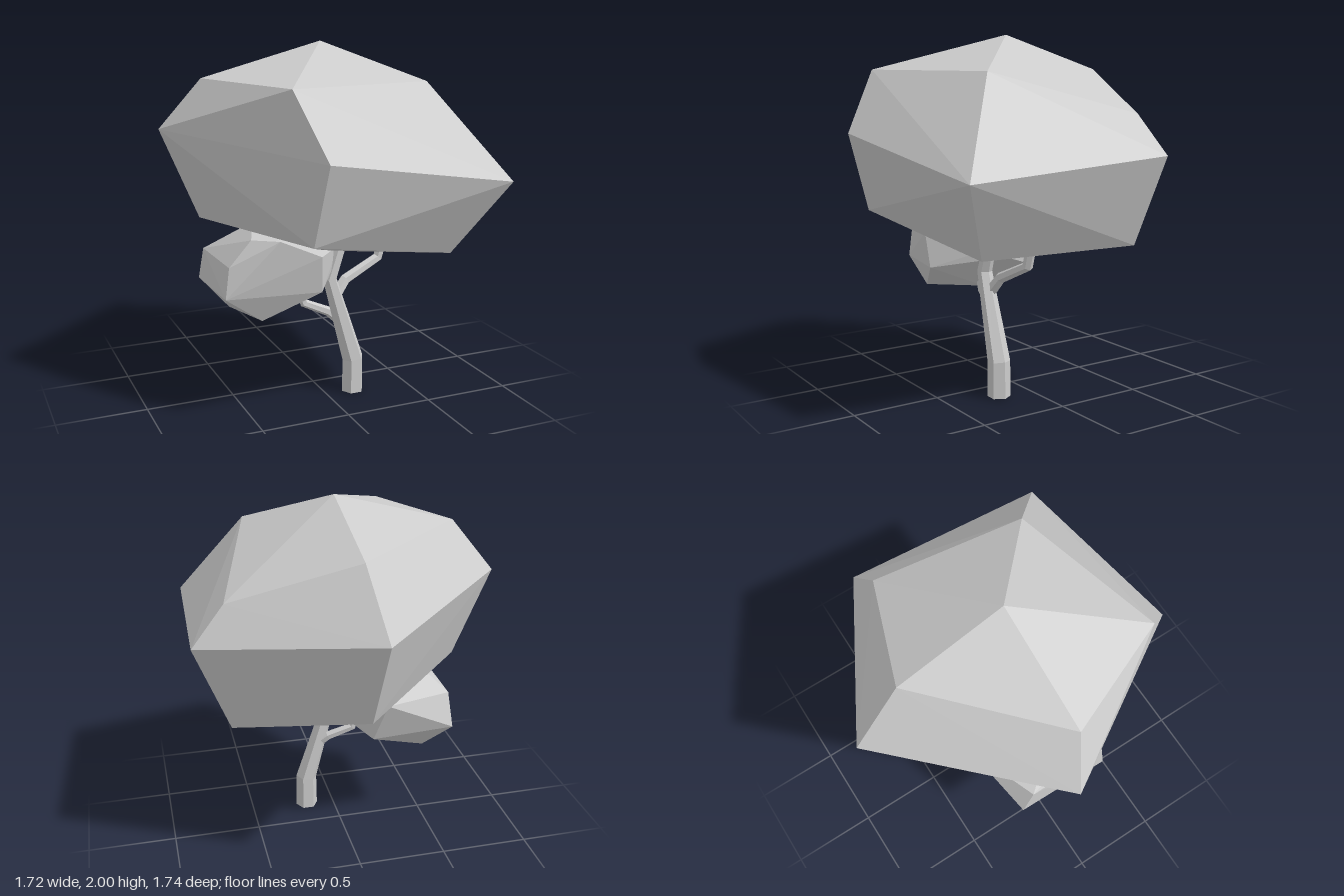
import * as THREE from 'three';
import { ConvexGeometry } from 'three/addons/geometries/ConvexGeometry.js';

const material = new THREE.MeshStandardMaterial({ color: 0xcccccc, flatShading: true });

function addMesh(group, name, geometry) {
  const mesh = new THREE.Mesh(geometry, material);
  mesh.name = name;
  group.add(mesh);
}

// Faceted foliage: the hull around a few corners
const foliage = (corners) => new ConvexGeometry(corners.map((c) => new THREE.Vector3(...c)));

// Six-sided tapering limb along stations [x, y, z, radius], mitred at the bends
function limb(stations, sides = 6) {
  const pts = stations.map(([x, y, z]) => new THREE.Vector3(x, y, z));
  const last = pts.length - 1;
  const rings = pts.map((p, i) => {
    const t = new THREE.Vector3();
    if (i > 0) t.add(p.clone().sub(pts[i - 1]).normalize());
    if (i < last) t.add(pts[i + 1].clone().sub(p).normalize());
    t.normalize();
    const u = new THREE.Vector3().crossVectors(t, new THREE.Vector3(0, 0, 1)).normalize();
    const v = new THREE.Vector3().crossVectors(u, t);
    return Array.from({ length: sides }, (_, j) => {
      const a = (j / sides) * Math.PI * 2, r = stations[i][3];
      return p.clone().addScaledVector(u, r * Math.cos(a)).addScaledVector(v, r * Math.sin(a));
    });
  });
  const tris = [];
  for (let j = 0; j < sides; j++) {
    const k = (j + 1) % sides;
    for (let i = 0; i < last; i++) {
      const [lo, hi] = [rings[i], rings[i + 1]];
      tris.push(lo[j], hi[j], lo[k], lo[k], hi[j], hi[k]);
    }
    // End caps
    tris.push(pts[0], rings[0][j], rings[0][k], pts[last], rings[last][k], rings[last][j]);
  }
  const geometry = new THREE.BufferGeometry().setFromPoints(tris);
  geometry.computeVertexNormals();
  return geometry;
}

export function createModel() {
  const tree = new THREE.Group();
  tree.name = 'tree';

  // Trunk and its two side branches
  addMesh(tree, 'trunk', limb([
    [0.165, 0, 0.195, 0.065], [0.165, 0.2, 0.195, 0.063],
    [0.02, 0.69, 0.195, 0.042], [0.08, 0.87, 0.195, 0.037],
  ]));
  addMesh(tree, 'rightBranch', limb([
    [0.06, 0.58, 0.18, 0.035], [0.13, 0.665, 0.16, 0.032],
    [0.35, 0.765, 0.13, 0.03], [0.39, 0.9, 0.13, 0.028],
  ]));
  addMesh(tree, 'leftBranch', limb([
    [0.08, 0.44, 0.18, 0.03], [0.03, 0.485, 0.16, 0.028],
    [-0.11, 0.545, 0.13, 0.025], [-0.145, 0.64, 0.13, 0.022],
  ]));

  // Large crown: top, upper, middle and lower rings of five, bottom
  addMesh(tree, 'mainCrown', foliage([
    [0.02, 2, 0.05],
    [0.01, 1.815, -0.57], [0.68, 1.58, -0.34], [0.46, 1.8, 0.45], [-0.39, 1.81, 0.67], [-0.655, 1.82, 0.045],
    [-0.04, 1.49, -0.87], [0.86, 1.37, -0.39], [0.815, 1.29, 0.77], [-0.28, 1.47, 0.87], [-0.86, 1.55, -0.07],
    [0, 1.01, -0.71], [0.67, 0.88, -0.34], [0.575, 0.875, 0.56], [-0.31, 1.04, 0.745], [-0.655, 1.055, -0.05],
    [0.1, 0.8, 0.02],
  ]));

  // Small crown tucked under the left of the large one
  addMesh(tree, 'smallCrown', foliage([
    [-0.4, 1.04, 0.1], [-0.49, 1, 0.33], [-0.36, 1, 0.42],
    [-0.15, 0.91, 0.48], [-0.61, 0.86, 0.32], [-0.61, 0.85, -0.15], [-0.2, 0.89, -0.32], [0.11, 0.85, 0.1],
    [-0.14, 0.71, 0.455], [-0.635, 0.69, 0.33], [-0.62, 0.66, -0.22], [-0.14, 0.65, -0.24], [0.1, 0.77, 0.1],
    [-0.43, 0.545, 0.32], [-0.48, 0.5, -0.1], [-0.15, 0.56, 0.1],
  ]));

  return tree;
}
